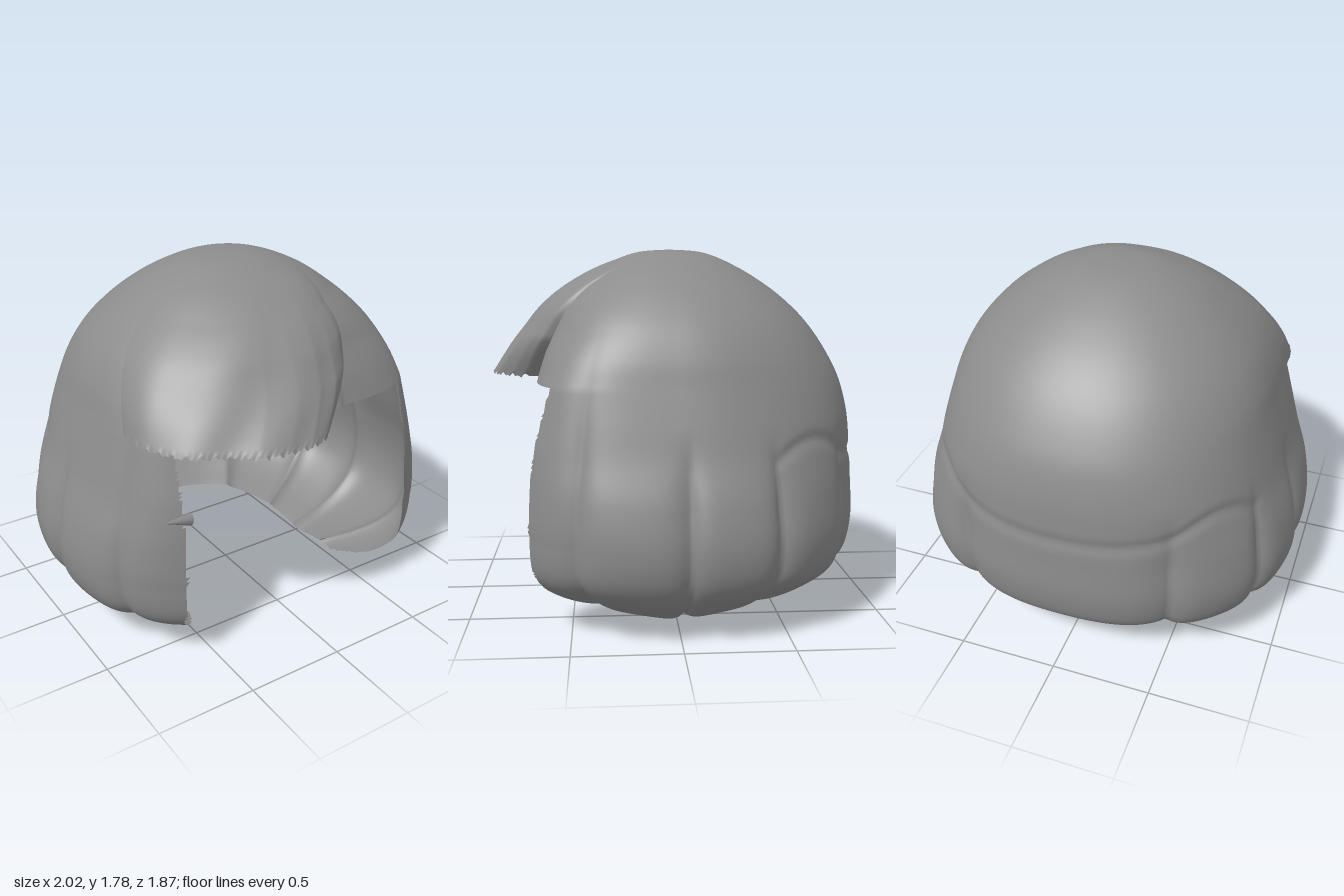
import * as THREE from 'three';

const hair = new THREE.MeshStandardMaterial({ color: 0x8c8c8c, side: THREE.DoubleSide });
hair.name = 'hair grey';

const { smoothstep, clamp, lerp } = THREE.MathUtils;
const DEG = Math.PI / 180;

// Profile rows from crown to hem: height, half width, depth at back, depth at front
const PROFILE = [
  [1.79, 0, 0, 0], [1.772, 0.19, 0.18, 0.18], [1.7, 0.38, 0.35, 0.35], [1.6, 0.53, 0.51, 0.47],
  [1.5, 0.64, 0.63, 0.54], [1.4, 0.72, 0.72, 0.58], [1.28, 0.78, 0.8, 0.63], [1.15, 0.82, 0.865, 0.67],
  [1.0, 0.865, 0.905, 0.71], [0.85, 0.91, 0.92, 0.75], [0.65, 0.98, 0.93, 0.77], [0.45, 1.01, 0.935, 0.79],
  [0.28, 0.975, 0.9, 0.79], [0.15, 0.87, 0.83, 0.77], [0.06, 0.72, 0.74, 0.72], [0, 0.52, 0.65, 0.65],
];
const LAST = PROFILE.length - 1;
const backCurve = new THREE.CatmullRomCurve3(PROFILE.map(([y, w, b]) => new THREE.Vector3(w, y, b)), false, 'catmullrom', 0.5);
const frontCurve = new THREE.CatmullRomCurve3(PROFILE.map(([y, w, , f]) => new THREE.Vector3(w, y, f)), false, 'catmullrom', 0.5);

// Squareness of the front half by profile row: fullest beside the face
const FRONT_SQUARE = [[0, 2.1], [3, 2.3], [5, 3], [7, 4], [9, 3.4], [11, 2.8], [15, 2.6]];

// Angles from the front where one lock meets the next
const SEAMS = [20, 62, 92, 117, 146, 214];

// Linear lookup in a short list of [position, value] pairs
function lookup(pairs, x) {
  let i = 1;
  while (i < pairs.length - 1 && x > pairs[i][0]) i++;
  const [x0, v0] = pairs[i - 1], [x1, v1] = pairs[i];
  return lerp(v0, v1, clamp((x - x0) / (x1 - x0), 0, 1));
}

// Head shape: height and radius for profile row k in direction phi
function head(phi, k) {
  const t = clamp(k / LAST, 0, 1);
  const p = backCurve.getPoint(t);
  const front = Math.cos(phi) > 0;
  const depth = front ? frontCurve.getPoint(t).z : p.z;
  const n = front ? lookup(FRONT_SQUARE, k) : lerp(2.1, 2.3, smoothstep(k, 3, 9));
  const r = p.x < 1e-4 ? 0 : Math.pow(
    Math.pow(Math.abs(Math.sin(phi)) / p.x, n) + Math.pow(Math.abs(Math.cos(phi)) / depth, n), -1 / n);
  return { y: p.y, r };
}

const polar = (phi, r, y) => new THREE.Vector3(r * Math.sin(phi), y, r * Math.cos(phi));

// Rounded locks below the crown
function lockSurface(phi, k) {
  let { y, r } = head(phi, k);
  const a = Math.abs(phi) / DEG;
  let s = 0;
  for (let i = 1; i < SEAMS.length; i++) {
    if (a >= SEAMS[i - 1] && a < SEAMS[i]) s = (2 * (a - SEAMS[i - 1])) / (SEAMS[i] - SEAMS[i - 1]) - 1;
  }
  const seam = Math.pow(Math.abs(s), 5);
  const fade = 1 - smoothstep(y, 0.6, a < 75 ? 1.5 : 1.0);
  r *= 1 - (a < 75 ? 0.035 : 0.047) * seam * fade;
  // the crown overlaps the tops of the back locks
  const arch = a > 146 ? 0.78 + 0.04 * s * s : 0.82 + 0.09 * (1 - s * s);
  r -= 0.012 * Math.exp(-(((y - arch) / 0.03) ** 2)) * smoothstep(a, 112, 122);
  const hem = 1 - smoothstep(y, 0, 0.35);
  y += hem * (0.12 * Math.abs(Math.cos(phi)) + 0.03 * seam);
  return polar(phi, r, y);
}

// Grid of points turned into a surface; keep() can leave faces out
function gridGeometry(rows, cols, point, wrap = false, keep = () => true) {
  const pts = [], index = [], width = wrap ? cols : cols + 1;
  for (let i = 0; i <= rows; i++) for (let j = 0; j < width; j++) pts.push(point(j / cols, i / rows));
  for (let i = 0; i < rows; i++) {
    for (let j = 0; j < cols; j++) {
      const j1 = wrap ? (j + 1) % cols : j + 1;
      const a = i * width + j, b = i * width + j1, c = a + width, d = b + width;
      for (const f of [[a, c, b], [b, c, d]]) {
        const mid = new THREE.Vector3();
        f.forEach((n) => mid.addScaledVector(pts[n], 1 / 3));
        if (keep(mid)) index.push(...f);
      }
    }
  }
  const geo = new THREE.BufferGeometry().setFromPoints(pts);
  geo.setIndex(index);
  geo.computeVertexNormals();
  return geo;
}

// Face opening, narrower where the locks curl in at the hem
const outsideFace = (p) =>
  p.z < 0.1 || p.y > 1.15 || Math.abs(p.x) > lerp(0.45, 0.66, smoothstep(p.y, 0.02, 0.25));

// Swept fringe: standing off the head, with a rounded edge along the parting
const PARTING = [[1.15, 9], [1.22, 14], [1.35, 24], [1.5, 31], [1.6, 36], [1.68, 46], [1.76, 75]];
const STANDOFF = [[0, -0.02], [0.03, 0.07], [0.08, 0.14], [0.16, 0.22], [0.25, 0.27], [0.34, 0.27],
  [0.45, 0.24], [0.6, 0.17], [0.75, 0.1], [0.88, 0.04], [1, -0.015]];
function fringeSurface(u, v) {
  const k = lerp(1.2, 7, v);
  const { y } = head(0, k);
  const right = lookup(PARTING, y), left = lerp(-95, -66, v);
  const phi = lerp(left, right, u) * DEG;
  const w = 1 - u;
  const { r } = head(phi, k);
  const grow = Math.pow(clamp((1.75 - y) / 0.6, 0, 1), 0.85);
  const strands = 0.008 * Math.sin(w * 24 + y * 9) * smoothstep(w, 0.08, 0.25) * (1 - smoothstep(w, 0.7, 0.95));
  const ragged = v === 1 ? 0.014 * Math.sin(u * 190) * Math.sin(u * 67) : 0;
  return polar(phi, r + (lookup(STANDOFF, w) + strands) * grow - 0.008 * (1 - grow), y + ragged);
}

function addMesh(group, name, geometry) {
  const mesh = new THREE.Mesh(geometry, hair);
  mesh.name = name;
  group.add(mesh);
  return mesh;
}

export function createModel() {
  const group = new THREE.Group();
  group.name = 'bobbedHair';

  // Crown and hanging locks in one smooth shell
  addMesh(group, 'crownAndLocks', gridGeometry(120, 320,
    (u, v) => lockSurface((u * 2 - 1) * Math.PI, v * LAST), true, outsideFace));

  // Side-swept fringe
  addMesh(group, 'fringe', gridGeometry(50, 130, fringeSurface));

  // Stray tuft at the right edge of the face
  const tuft = addMesh(group, 'strayTuft', new THREE.ConeGeometry(0.03, 0.15, 8));
  tuft.position.set(-0.7, 0.83, 0.68);
  tuft.rotation.set(30 * DEG, 0, 75 * DEG);

  return group;
}
